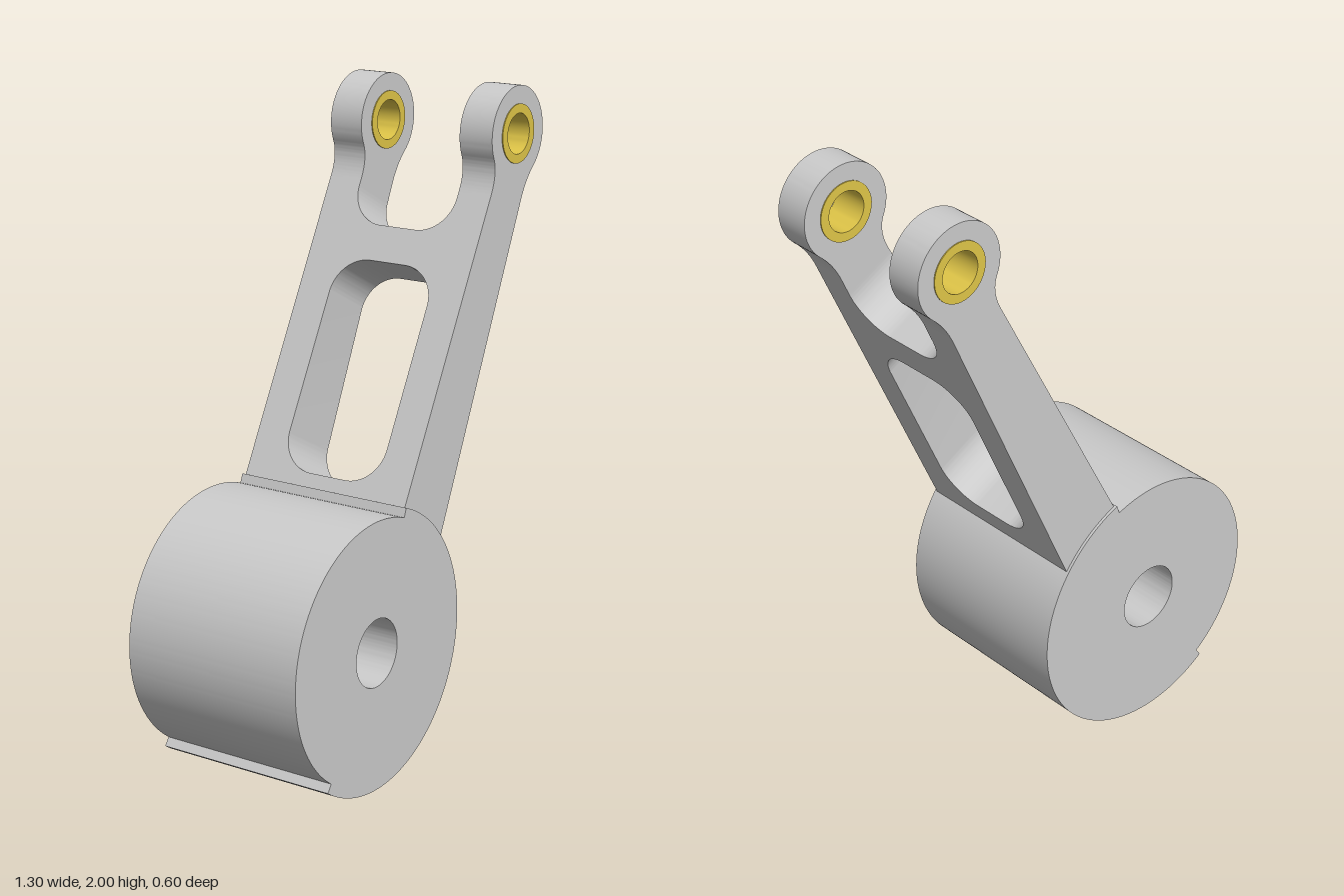
import * as THREE from 'three';
import { toCreasedNormals } from 'three/addons/utils/BufferGeometryUtils.js';

const DRUM_X = -0.248, DRUM_Y = 0.433;
const ARM_ANGLE = 1.087;        // lean of the arm, measured from +x
const HALF_W = 0.292, GAP = 0.178; // half width of the arm, half width of its openings
const EYE_U = 1.61, EYE_R = 0.145, BORE = 0.062, SEAT = 0.09;
const SEAM = 1.38;              // where the rails turn into eyes

// Edges of the tapered arm, at distance u from the drum axis
const upperEdge = () => 0.052;
const lowerEdge = (u) => -0.186 + 0.0644 * (u - 0.389);

const grey = new THREE.MeshStandardMaterial({ color: 0xcccccc });
const brass = new THREE.MeshStandardMaterial({ color: 0xe0c648 });

function part(name, geometry, material = grey) {
  const mesh = new THREE.Mesh(toCreasedNormals(geometry, 0.5), material);
  mesh.name = name;
  return mesh;
}

function extrude(shape, depth, curveSegments = 24) {
  return new THREE.ExtrudeGeometry(shape, { depth, curveSegments, bevelEnabled: false });
}

function circleHole(x, y, r) {
  return new THREE.Path().absarc(x, y, r, 0, Math.PI * 2, true);
}

// Drum with a slightly larger radius over half its rim, leaving two small steps
function makeDrum() {
  const shape = new THREE.Shape();
  const a = THREE.MathUtils.degToRad(-125), b = THREE.MathUtils.degToRad(70);
  shape.absarc(0, 0, 0.432, a, b, false);
  shape.absarc(0, 0, 0.403, b, a + Math.PI * 2, false);
  shape.closePath();
  shape.holes.push(circleHole(0, 0, 0.105));
  const drum = part('drum', extrude(shape, 0.602, 64).translate(0, 0, -0.301));
  drum.position.set(DRUM_X, DRUM_Y, 0);
  return drum;
}

// Forked plate with a rounded window, extruded across the arm and tapered
function makePlate() {
  const r = 0.115, fork = 1.26, half = Math.PI / 2;
  const shape = new THREE.Shape();
  shape.moveTo(0.3, -HALF_W);
  shape.lineTo(SEAM, -HALF_W);
  shape.lineTo(SEAM, -GAP);
  shape.absarc(fork + r, -GAP + r, r, -half, -Math.PI, true);
  shape.absarc(fork + r, GAP - r, r, Math.PI, half, true);
  shape.lineTo(SEAM, GAP);
  shape.lineTo(SEAM, HALF_W);
  shape.lineTo(0.3, HALF_W);
  shape.closePath();

  const u0 = 0.472 + r, u1 = 1.147 - r, s = GAP - r;
  const slot = new THREE.Path();
  slot.absarc(u1, s, r, 0, half, false);
  slot.absarc(u0, s, r, half, Math.PI, false);
  slot.absarc(u0, -s, r, Math.PI, 3 * half, false);
  slot.absarc(u1, -s, r, -half, 0, false);
  slot.closePath();
  shape.holes.push(slot);

  const geometry = extrude(shape, 1, 16);
  const p = geometry.attributes.position;
  for (let i = 0; i < p.count; i++) {
    const u = p.getX(i);
    p.setXYZ(i, u, THREE.MathUtils.lerp(upperEdge(u), lowerEdge(u), p.getZ(i)), p.getY(i));
  }
  return part('armPlate', geometry);
}

// Eye that blends into the rail through two concave fillets
function makeEye(name, z) {
  const a = THREE.MathUtils.degToRad(-110), b = THREE.MathUtils.degToRad(140);
  const shape = new THREE.Shape();
  shape.moveTo(SEAM, upperEdge(SEAM));
  shape.lineTo(SEAM, lowerEdge(SEAM));
  shape.lineTo(1.44, lowerEdge(1.44));
  shape.quadraticCurveTo(1.505, lowerEdge(1.505),
    EYE_U + EYE_R * Math.cos(a), EYE_R * Math.sin(a));
  shape.absarc(EYE_U, 0, EYE_R, a, b, false);
  shape.quadraticCurveTo(1.467, upperEdge(), 1.395, upperEdge());
  shape.closePath();
  shape.holes.push(circleHole(EYE_U, 0, SEAT));
  return part(name, extrude(shape, HALF_W - GAP, 32).translate(0, 0, z));
}

// Bushing ring standing just proud of both faces of an eye
function makeBushing(name, z) {
  const depth = HALF_W - GAP, lip = 0.003;
  const profile = [
    [BORE, -lip], [SEAT, -lip], [SEAT, depth + lip], [BORE, depth + lip], [BORE, -lip],
  ].map(([x, y]) => new THREE.Vector2(x, y));
  const geometry = new THREE.LatheGeometry(profile, 40).rotateX(Math.PI / 2);
  return part(name, geometry.translate(EYE_U, 0, z), brass);
}

export function createModel() {
  const model = new THREE.Group();
  model.name = 'forkedLever';
  model.add(makeDrum());

  const arm = new THREE.Group();
  arm.name = 'arm';
  arm.position.set(DRUM_X, DRUM_Y, 0);
  arm.rotation.z = ARM_ANGLE;
  arm.add(makePlate());
  for (const [side, z] of [['front', GAP], ['back', -HALF_W]]) {
    arm.add(makeEye(side + 'Eye', z), makeBushing(side + 'Bushing', z));
  }
  model.add(arm);
  return model;
}
